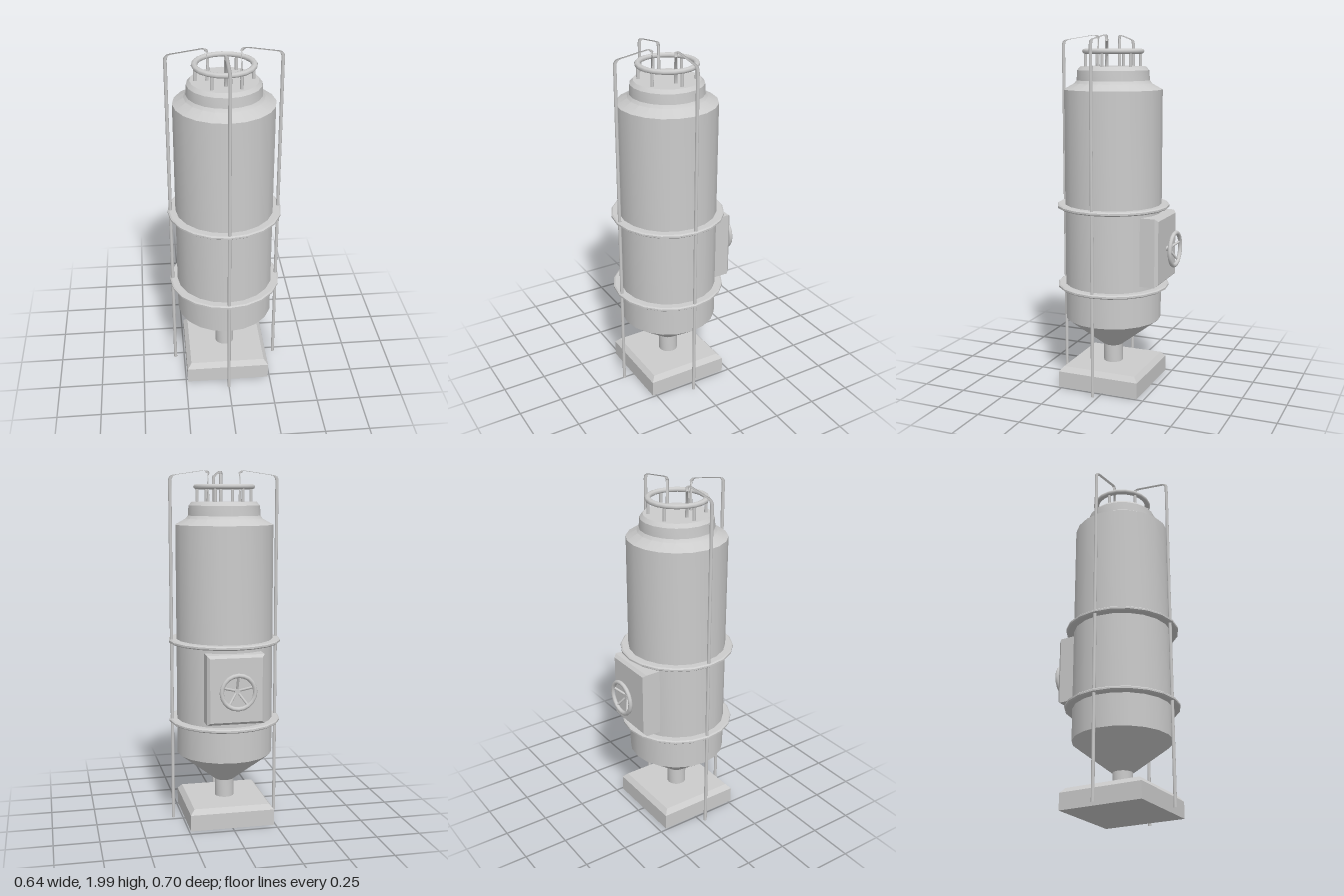
import * as THREE from 'three';
import { toCreasedNormals } from 'three/addons/utils/BufferGeometryUtils.js';

const SIDES = 20;
const V = (x, y, z = 0) => new THREE.Vector3(x, y, z);
const material = new THREE.MeshStandardMaterial({ color: 0xcccccc });

function add(parent, name, geometry) {
  const mesh = new THREE.Mesh(geometry, material);
  mesh.name = name;
  parent.add(mesh);
  return mesh;
}

// Turned part from [radius, height] pairs, bottom to top
function turned(profile) {
  const points = profile.map(([r, y]) => new THREE.Vector2(r, y));
  return toCreasedNormals(new THREE.LatheGeometry(points, SIDES), 0.45);
}

// Block standing on y = 0 whose upper edges are chamfered
function chamferedBlock(w, h, d, inset, bevel) {
  const box = new THREE.BoxGeometry(w, h, d, 1, 2, 1).toNonIndexed();
  const p = box.attributes.position;
  for (let i = 0; i < p.count; i++) {
    const y = p.getY(i);
    if (y > h / 4) {
      p.setX(i, p.getX(i) - Math.sign(p.getX(i)) * inset);
      p.setZ(i, p.getZ(i) - Math.sign(p.getZ(i)) * inset);
    }
    p.setY(i, Math.abs(y) < h / 4 ? h - bevel : y + h / 2);
  }
  box.computeVertexNormals();
  return box;
}

// Straight round bar between two points
function bar(a, b, radius) {
  return new THREE.TubeGeometry(new THREE.LineCurve3(a, b), 1, radius, 8);
}

// Polyline with rounded corners
function bentPath(points, cut) {
  const path = new THREE.CurvePath();
  let from = points[0];
  for (let i = 1; i < points.length - 1; i++) {
    const c = points[i];
    const a = c.clone().add(points[i - 1].clone().sub(c).setLength(cut));
    const b = c.clone().add(points[i + 1].clone().sub(c).setLength(cut));
    path.add(new THREE.LineCurve3(from, a));
    path.add(new THREE.QuadraticBezierCurve3(a, c, b));
    from = b;
  }
  path.add(new THREE.LineCurve3(from, points[points.length - 1]));
  return path;
}

// Tube sampled evenly on each piece, so that bends stay crisp
function bentTube(path, radius) {
  const pts = [];
  path.curves.forEach((c) => {
    const n = c.isLineCurve3 ? 1 : 4;
    for (let i = 0; i < n; i++) pts.push(c.getPoint(i / n));
  });
  pts.push(path.curves[path.curves.length - 1].getPoint(1));
  const poly = new THREE.CurvePath();
  for (let i = 1; i < pts.length; i++) poly.add(new THREE.LineCurve3(pts[i - 1], pts[i]));
  poly.getPointAt = (u, target = V(0, 0)) => {
    const t = u * (pts.length - 1);
    const i = Math.min(Math.floor(t + 1e-6), pts.length - 2);
    return target.lerpVectors(pts[i], pts[i + 1], t - i);
  };
  return new THREE.TubeGeometry(poly, pts.length - 1, radius, 8);
}

export function createModel() {
  const model = new THREE.Group();
  model.name = 'storageTank';

  // Everything but the rear hatch shares the tank's axis
  const body = new THREE.Group();
  body.name = 'tankBody';
  body.position.z = 0.03;
  model.add(body);

  add(body, 'basePlinth', chamferedBlock(0.48, 0.12, 0.48, 0.024, 0.028));

  // Outlet, hopper, shell, shoulder and collar
  add(body, 'tankShell', turned([
    [0.055, 0.11], [0.055, 0.222], [0.275, 0.392], [0.275, 1.695],
    [0.216, 1.728], [0.204, 1.745], [0.2, 1.8], [0.182, 1.82], [0, 1.82],
  ]));

  // Hoops around the shell
  for (const y of [0.585, 1.045]) {
    const hoop = add(body, 'hoop', turned([
      [0.265, -0.011], [0.311, -0.011], [0.319, -0.005],
      [0.319, 0.005], [0.311, 0.011], [0.265, 0.011],
    ]));
    hoop.position.y = y;
  }

  // Railing on the collar
  const rail = new THREE.TorusGeometry(0.156, 0.0165, 8, SIDES);
  rail.rotateX(Math.PI / 2).scale(1, 0.85, 1);
  add(body, 'topRail', rail).position.y = 1.902;
  for (let i = 0; i < 6; i++) {
    const a = (i * Math.PI) / 3;
    const x = 0.153 * Math.cos(a), z = 0.153 * Math.sin(a);
    add(body, 'railPost', bar(V(x, 1.81, z), V(x, 1.9, z), 0.009));
  }

  // Three standing pipes: right, front and left
  const pipePath = bentPath(
    [V(0.303, 0), V(0.303, 1.962), V(0.09, 1.993), V(0.09, 1.815)], 0.028);
  for (const angle of [0, -Math.PI / 2, Math.PI]) {
    add(body, 'standPipe', bentTube(pipePath, 0.0095)).rotation.y = angle;
  }

  // Rear hatch, built lying down, then turned to face backwards
  const hatch = new THREE.Group();
  hatch.name = 'rearHatch';
  hatch.position.set(0, 0.818, -0.19);
  hatch.rotation.x = -Math.PI / 2;
  model.add(hatch);
  add(hatch, 'hatchBox', chamferedBlock(0.32, 0.105, 0.385, 0.015, 0.016));

  // Handwheel
  const rim = new THREE.TorusGeometry(0.092, 0.012, 8, SIDES).rotateX(Math.PI / 2);
  add(hatch, 'wheelRim', rim).position.y = 0.153;
  const hub = new THREE.CylinderGeometry(0.015, 0.015, 0.03, 12);
  add(hatch, 'wheelHub', hub).position.y = 0.114;
  for (let i = 0; i < 5; i++) {
    const a = (i * Math.PI * 2) / 5;
    const s = Math.sin(a), c = Math.cos(a);
    add(hatch, 'wheelSpoke',
      bar(V(0.006 * s, 0.117, 0.006 * c), V(0.09 * s, 0.152, 0.09 * c), 0.007));
  }
  return model;
}
